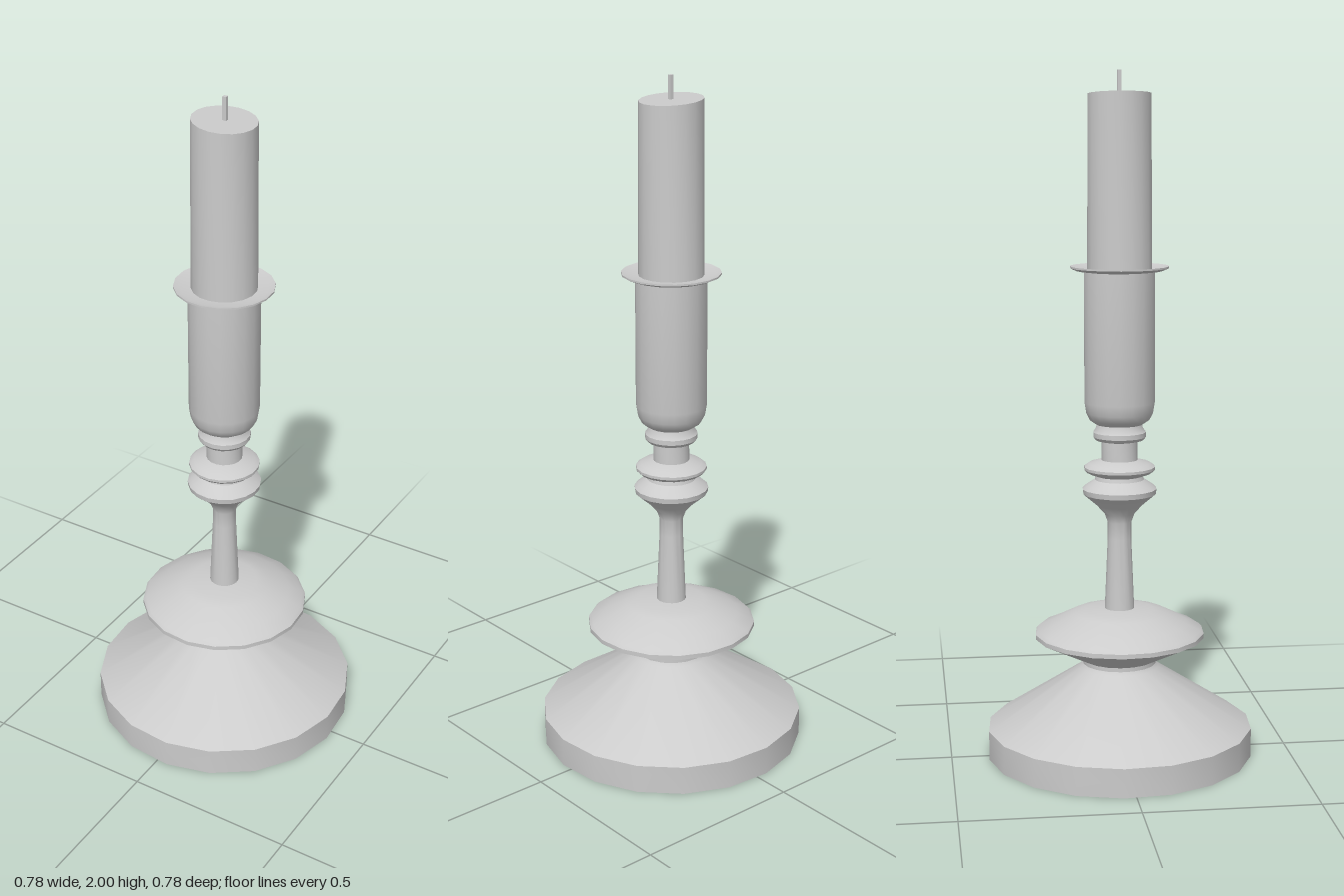
import * as THREE from 'three';
import { toCreasedNormals } from 'three/addons/utils/BufferGeometryUtils.js';

const SIDES = 18;
const START = THREE.MathUtils.degToRad(5);

export function createModel() {
  const group = new THREE.Group();
  const material = new THREE.MeshStandardMaterial({ color: 0xcccccc, side: THREE.DoubleSide });

  const add = (name, geometry) => {
    const mesh = new THREE.Mesh(toCreasedNormals(geometry, 0.6), material);
    mesh.name = name;
    group.add(mesh);
    return mesh;
  };
  // Turned part from [radius, height] pairs, bottom to top
  const turn = (name, profile) => add(name, new THREE.LatheGeometry(
    profile.map(([r, y]) => new THREE.Vector2(r, y)), SIDES, START));

  // Wide foot with a conical top and short neck
  turn('base', [[0, 0], [0.392, 0], [0.392, 0.085], [0.115, 0.265], [0.108, 0.275], [0.108, 0.295]]);

  // Saucer-shaped knop above the foot
  turn('lowerKnop', [
    [0.108, 0.287], [0.118, 0.292], [0.25, 0.357], [0.25, 0.37], [0.241, 0.379],
    [0.2, 0.397], [0.137, 0.429], [0.1, 0.437], [0.043, 0.441],
  ]);

  // Slender stem flaring into the upper knop
  turn('stem', [
    [0.044, 0.435], [0.035, 0.65], [0.035, 0.7], [0.044, 0.725], [0.066, 0.75],
    [0.107, 0.785], [0.109, 0.8], [0.098, 0.81], [0.072, 0.827], [0.068, 0.84],
  ]);

  // Thin collar and neck
  turn('collar', [
    [0.068, 0.838], [0.095, 0.848], [0.104, 0.857], [0.104, 0.865], [0.09, 0.875],
    [0.053, 0.885], [0.052, 0.945],
  ]);

  // Small ring under the cup
  turn('neckRing', [
    [0.052, 0.94], [0.07, 0.944], [0.077, 0.953], [0.077, 0.967], [0.07, 0.976], [0.066, 0.99],
  ]);

  // Candle cup with rounded bottom
  turn('cup', [
    [0.05, 0.987], [0.068, 0.99], [0.087, 1.003], [0.098, 1.024], [0.103, 1.055], [0.103, 1.437],
  ]);

  // Thin drip pan, slightly dished
  turn('dripPan', [
    [0.1, 1.432], [0.125, 1.435], [0.143, 1.443], [0.143, 1.448], [0.125, 1.443], [0.085, 1.44],
  ]);

  // Candle with a slightly slanted top
  const candle = turn('candle', [[0.094, 1.42], [0.091, 1.934], [0, 1.934]]);
  const p = candle.geometry.attributes.position;
  for (let i = 0; i < p.count; i++) {
    if (p.getY(i) > 1.9) p.setY(i, p.getY(i) - p.getX(i) * 0.07);
  }

  // Wick
  add('wick', new THREE.BoxGeometry(0.011, 0.08, 0.011).translate(0.002, 1.96, 0));

  return group;
}
